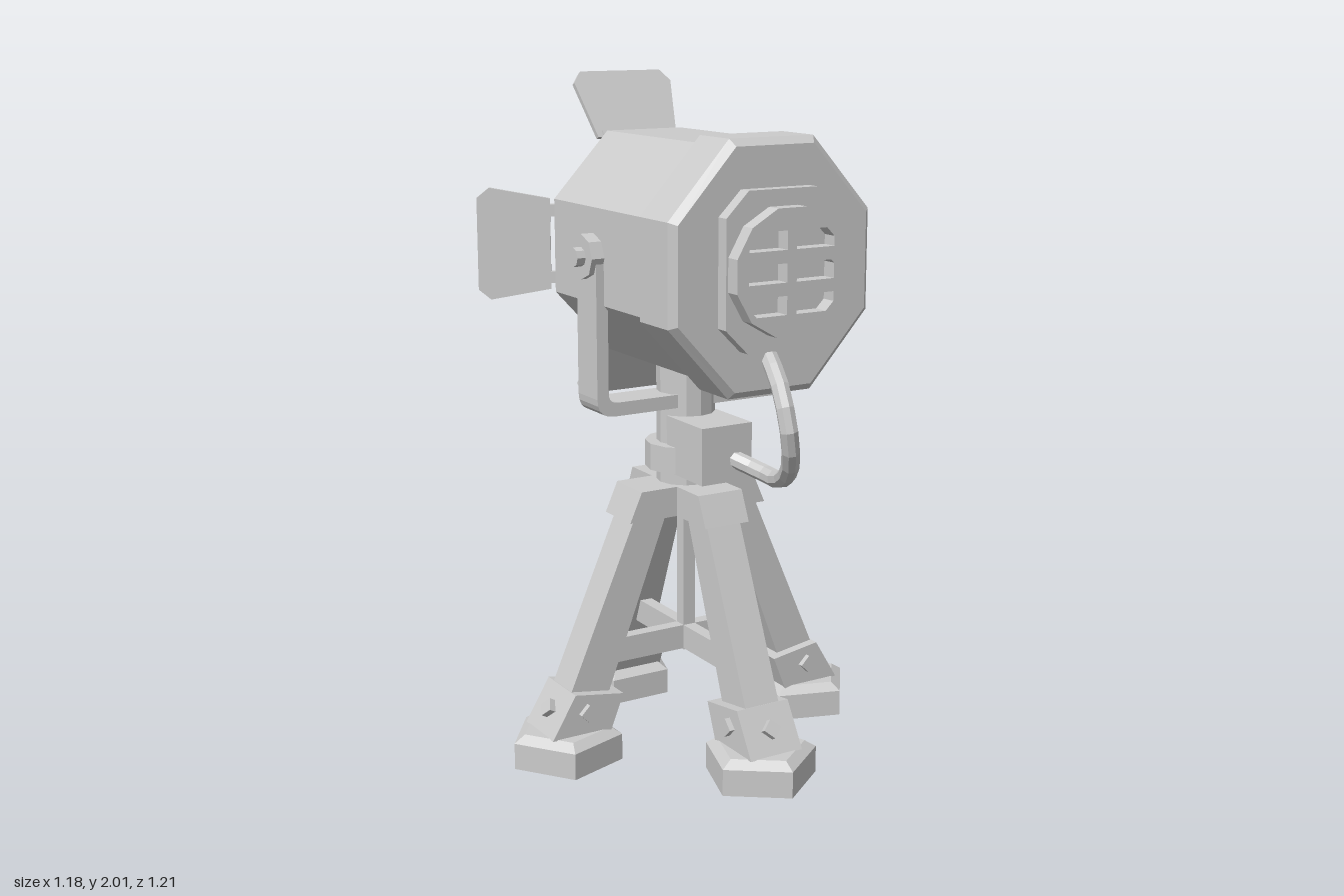
import * as THREE from 'three';

const CY = 1.508;   // height of the lamp axis
const CZ = -0.017;  // depth of the tripod axis
const mat = new THREE.MeshStandardMaterial({ color: 0xcccccc, flatShading: true });
const matDouble = new THREE.MeshStandardMaterial({ color: 0xcccccc, flatShading: true, side: THREE.DoubleSide });

function add(parent, name, geo, pos = [0, 0, 0], rot = [0, 0, 0], m = mat) {
  const mesh = new THREE.Mesh(geo, m);
  mesh.name = name;
  mesh.position.set(...pos);
  mesh.rotation.set(...rot);
  parent.add(mesh);
  return mesh;
}

function group(parent, name, pos = [0, 0, 0], rot = [0, 0, 0]) {
  const g = new THREE.Group();
  g.name = name;
  g.position.set(...pos);
  g.rotation.set(...rot);
  parent.add(g);
  return g;
}

const poly = pts => new THREE.Shape(pts.map(p => new THREE.Vector2(...p)));

// Extrusion centred on z = 0
function slab(shape, depth) {
  return new THREE.ExtrudeGeometry(shape, { depth, bevelEnabled: false, curveSegments: 5 }).translate(0, 0, -depth / 2);
}

// Octagon, counter-clockwise: half width, half height, half lengths of the flats
const octagon = (w, h, fx, fy) =>
  [[w, -fy], [w, fy], [fx, h], [-fx, h], [-w, fy], [-w, -fy], [-fx, -h], [fx, -h]];

const circle = (r, n) => Array.from({ length: n }, (_, i) => {
  const a = (i + 0.5) / n * Math.PI * 2;
  return [r * Math.cos(a), r * Math.sin(a)];
});

// Skin through sections [z, points] ordered by rising z
function loft(sections, capLow, capHigh) {
  const v = [];
  const n = sections[0][1].length;
  const at = (s, i) => [...sections[s][1][i % n], sections[s][0]];
  for (let s = 0; s < sections.length - 1; s++) {
    for (let i = 0; i < n; i++) {
      const a = at(s, i), b = at(s, i + 1), c = at(s + 1, i + 1), d = at(s + 1, i);
      v.push(...a, ...b, ...c, ...a, ...c, ...d);
    }
  }
  const e = sections.length - 1;
  for (let i = 1; i < n - 1; i++) {
    if (capLow) v.push(...at(0, 0), ...at(0, i + 1), ...at(0, i));
    if (capHigh) v.push(...at(e, 0), ...at(e, i), ...at(e, i + 1));
  }
  const g = new THREE.BufferGeometry();
  g.setAttribute('position', new THREE.Float32BufferAttribute(v, 3));
  g.computeVertexNormals();
  return g;
}

function buildHead(root) {
  const head = group(root, 'lampHead', [0, CY, 0]);

  // Housing with a tapered nose and a wider rear cap
  const nose = octagon(0.255, 0.285, 0.105, 0.115);
  const side = octagon(0.305, 0.33, 0.125, 0.138);
  add(head, 'housing', loft([[-0.315, nose], [-0.26, side], [0.3, side]], false, true));
  const wide = octagon(0.325, 0.353, 0.135, 0.143);
  add(head, 'rearCap', loft([[0.282, wide], [0.43, wide], [0.45, octagon(0.305, 0.333, 0.125, 0.135)]], true, true));

  // Face with the lens recess
  const face = poly(nose);
  face.holes.push(poly(circle(0.2, 12)));
  add(head, 'lensFace', new THREE.ShapeGeometry(face), [0, 0, -0.315], [0, 0, 0], matDouble);
  add(head, 'lensRecess', loft([[-0.315, circle(0.2, 12)], [-0.14, circle(0.19, 12)]], false, true),
    [0, 0, 0], [0, 0, 0], matDouble);
  for (const x of [-1, 1]) for (const y of [-1, 1]) {
    add(head, 'faceBolt', new THREE.BoxGeometry(0.036, 0.036, 0.04), [x * 0.17, y * 0.175, -0.313]);
  }

  // Rear plate and slotted vent disc
  add(head, 'ventPlate', slab(poly(octagon(0.18, 0.22, 0.11, 0.15)), 0.06), [0, 0, 0.46]);
  const disc = poly(circle(0.18, 12));
  for (const sx of [-1, 1]) for (const row of [-1, 0, 1]) {
    const cut = row === 0 ? 0.01 : 0.025;
    const k = row || 1;
    disc.holes.push(poly([[0.015, -0.026], [0.137, -0.026], [0.137, 0.026 - cut], [0.137 - cut, 0.026], [0.015, 0.026]]
      .map(([x, y]) => [sx * x, row * 0.088 + k * y])));
  }
  add(head, 'ventDisc', slab(disc, 0.047), [0, 0, 0.512]);

  // Four barn doors around the lens
  const door = poly([[-0.135, 0.02], [0.135, 0.02], [0.167, 0.2], [0.137, 0.237], [-0.137, 0.237], [-0.167, 0.2]]);
  for (let k = 0; k < 4; k++) {
    const arm = group(head, 'barnDoor', [0, 0, 0], [0, 0, k * Math.PI / 2]);
    const hinge = group(arm, 'barnDoorHinge', [0, k % 2 ? 0.28 : 0.288, -0.293], [-0.52, 0, 0]);
    add(hinge, 'doorLeaf', slab(door, 0.014));
    for (const x of [-0.1, 0.1]) add(hinge, 'hingePin', new THREE.BoxGeometry(0.035, 0.06, 0.022), [x, 0.008, 0]);
  }
}

function buildYoke(root) {
  const yoke = group(root, 'yoke', [0, 0, CZ]);
  // U-shaped bracket with rounded lower corners
  const u = new THREE.Shape();
  u.moveTo(-0.33, CY);
  u.lineTo(-0.33, 1.1);
  u.quadraticCurveTo(-0.33, 1.045, -0.275, 1.045);
  u.lineTo(0.275, 1.045);
  u.quadraticCurveTo(0.33, 1.045, 0.33, 1.1);
  u.lineTo(0.33, CY);
  u.lineTo(0.293, CY);
  u.lineTo(0.293, 1.115);
  u.quadraticCurveTo(0.293, 1.085, 0.263, 1.085);
  u.lineTo(-0.263, 1.085);
  u.quadraticCurveTo(-0.293, 1.085, -0.293, 1.115);
  u.lineTo(-0.293, CY);
  add(yoke, 'bracket', slab(u, 0.116));
  for (const s of [-1, 1]) {
    const turn = [0, 0, Math.PI / 2];
    add(yoke, 'armEnd', new THREE.CylinderGeometry(0.058, 0.058, 0.037, 16), [s * 0.3115, CY, 0], turn);
    add(yoke, 'pivotBoss', new THREE.CylinderGeometry(0.065, 0.065, 0.04, 8), [s * 0.326, CY, 0], turn);
    add(yoke, 'pivotBolt', new THREE.CylinderGeometry(0.028, 0.028, 0.04, 8), [s * 0.352, CY, 0], turn);
  }
}

function buildNeck(root) {
  const neck = group(root, 'neck', [0, 0, CZ]);
  add(neck, 'post', new THREE.CylinderGeometry(0.088, 0.088, 0.4, 12), [0, 0.99, 0]);
  add(neck, 'collar', new THREE.CylinderGeometry(0.123, 0.123, 0.08, 12), [0, 0.892, 0]);
  add(neck, 'junctionBox', new THREE.BoxGeometry(0.17, 0.17, 0.2), [0, 0.935, 0.132]);

  // Power cable from the rear cap down to the junction box
  const path = new THREE.CatmullRomCurve3([
    [-0.005, 1.265, 0.43], [-0.035, 1.2, 0.535], [-0.035, 1.08, 0.582], [0.005, 0.965, 0.53],
    [0.055, 0.895, 0.4], [0.07, 0.89, 0.29], [0.03, 0.915, 0.2]
  ].map(p => new THREE.Vector3(...p)));
  add(root, 'cable', new THREE.TubeGeometry(path, 12, 0.026, 8));
}

function buildTripod(root) {
  const stand = group(root, 'stand', [0, 0, CZ]);
  add(stand, 'centreRod', new THREE.BoxGeometry(0.04, 0.5, 0.04), [0, 0.52, 0]);

  // Five-sided foot, hollow underneath
  const foot = new THREE.LatheGeometry(
    [[0, 0.05], [0.13, 0.05], [0.145, 0], [0.17, 0], [0.17, 0.08], [0.135, 0.102], [0, 0.102]]
      .map(p => new THREE.Vector2(...p)), 5).toNonIndexed();
  const bolt = new THREE.CylinderGeometry(0.028, 0.028, 0.03, 4);

  for (let k = 0; k < 4; k++) {
    const leg = group(stand, 'leg', [0, 0, 0], [0, k * Math.PI / 2, 0]);
    add(leg, 'legSocket', slab(poly([[0, 0.74], [0.08, 0.72], [0.235, 0.72], [0.195, 0.81], [0, 0.81]]), 0.15));
    add(leg, 'legBeam', slab(poly([[0.335, 0.12], [0.47, 0.13], [0.205, 0.74], [0.098, 0.74]]), 0.114));
    add(leg, 'ankle', slab(poly([[0.315, 0.09], [0.507, 0.1], [0.43, 0.228], [0.27, 0.203]]), 0.176));
    add(leg, 'foot', foot, [0.42, 0, 0], [0, Math.PI / 2, 0], matDouble);
    add(leg, 'crossBrace', new THREE.BoxGeometry(0.32, 0.075, 0.04), [0.16, 0.312, 0]);
    // Diamond-headed bolts on the four ankle faces
    add(leg, 'ankleBolt', bolt, [0.472, 0.167, 0], [0, 0, -1.05]);
    add(leg, 'ankleBolt', bolt, [0.293, 0.152, 0], [0, 0, -1.2]);
    for (const s of [-1, 1]) add(leg, 'ankleBolt', bolt, [0.392, 0.167, s * 0.09], [Math.PI / 2, 0, 0]);
  }
}

export function createModel() {
  const model = new THREE.Group();
  model.name = 'stageLamp';
  buildHead(model);
  buildYoke(model);
  buildNeck(model);
  buildTripod(model);
  return model;
}
